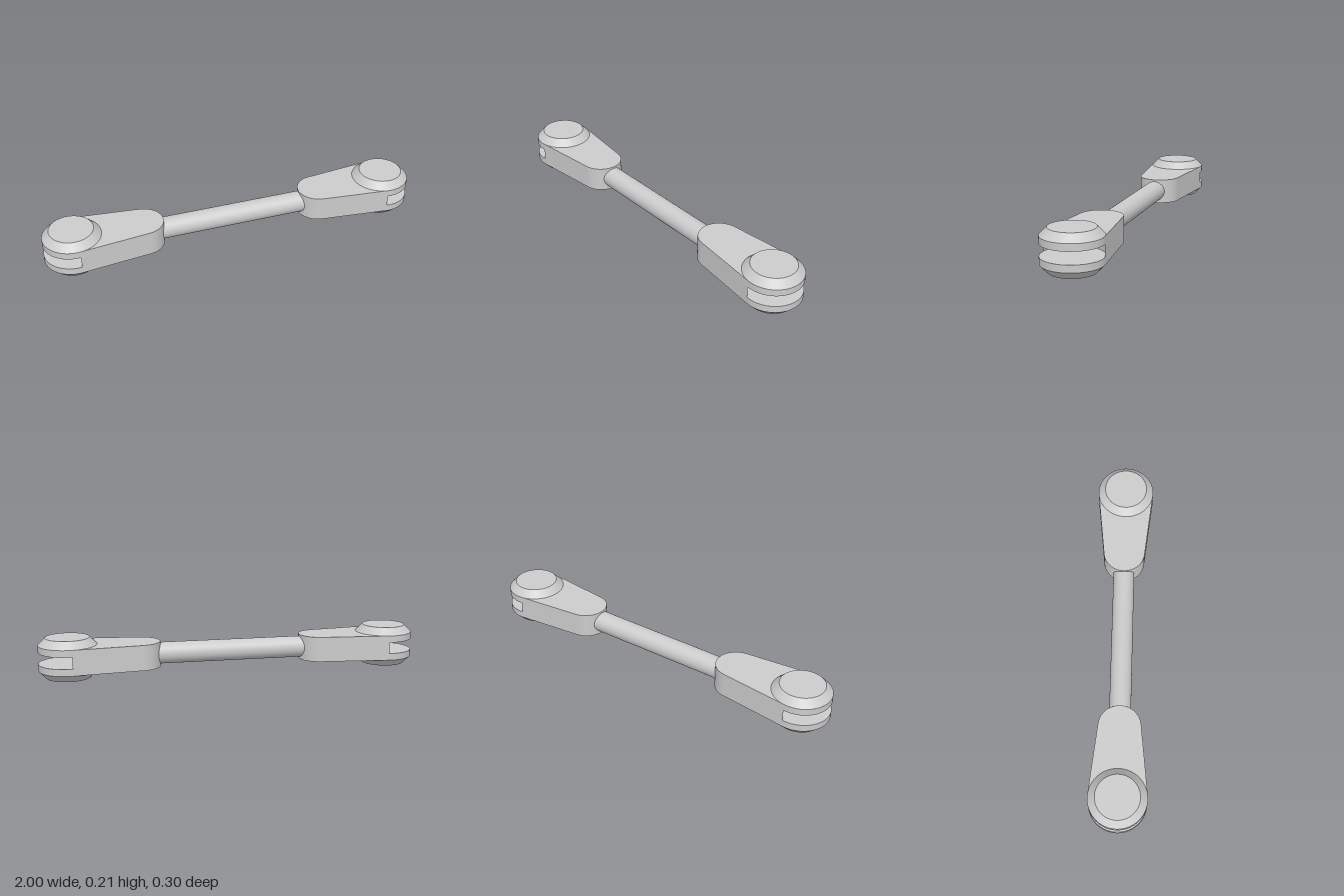
import * as THREE from 'three';
import { toCreasedNormals } from 'three/addons/utils/BufferGeometryUtils.js';

const EYE = { x: 0.85, r: 0.15 };    // outer round end
const NECK = { x: 0.485, r: 0.11 };  // inner round end, where the rod enters
const MID = 0.104;                   // height of the rod axis
const LEVELS = [0, 0.038, 0.074, 0.134, 0.17, 0.208];

const material = new THREE.MeshStandardMaterial({ color: 0xcccccc });

function add(parent, name, geometry) {
  const mesh = new THREE.Mesh(geometry, material);
  mesh.name = name;
  parent.add(mesh);
  return mesh;
}

// Tapered outline around both round ends; a slotted one is cut back by the eye circle
function outline(slotted) {
  const t = Math.acos(-(EYE.r - NECK.r) / (EYE.x - NECK.x));
  const shape = new THREE.Shape();
  shape.absarc(NECK.x, 0, NECK.r, t, 2 * Math.PI - t, false);
  if (slotted) shape.absarc(EYE.x, 0, EYE.r, 2 * Math.PI - t, t, true);
  else shape.absarc(EYE.x, 0, EYE.r, -t, t, false);
  shape.closePath();
  return shape;
}

// Horizontal plate between two heights
function plate(shape, y0, y1) {
  const geometry = new THREE.ExtrudeGeometry(shape, {
    depth: y1 - y0, bevelEnabled: false, curveSegments: 32,
  });
  geometry.rotateX(-Math.PI / 2).translate(0, y0, 0);
  return toCreasedNormals(geometry, 0.5);
}

function createClevis(name) {
  const clevis = new THREE.Group();
  clevis.name = name;
  const [y0, y1, y2, y3, y4, y5] = LEVELS;

  // Fork: two full cheeks with the slotted web between them
  add(clevis, 'lowerCheek', plate(outline(false), y1, y2));
  add(clevis, 'slottedWeb', plate(outline(true), y2, y3));
  add(clevis, 'upperCheek', plate(outline(false), y3, y4));

  // Chamfered bosses above and below the eye
  const small = 0.113;
  add(clevis, 'upperBoss', new THREE.CylinderGeometry(small, EYE.r, y5 - y4, 64))
    .position.set(EYE.x, (y4 + y5) / 2, 0);
  add(clevis, 'lowerBoss', new THREE.CylinderGeometry(EYE.r, small, y1 - y0, 64))
    .position.set(EYE.x, (y0 + y1) / 2, 0);
  return clevis;
}

export function createModel() {
  const model = new THREE.Group();
  model.name = 'linkRod';

  // Connecting rod
  const rod = add(model, 'rod', new THREE.CylinderGeometry(0.056, 0.056, 0.9, 48));
  rod.rotation.z = Math.PI / 2;
  rod.position.y = MID;

  // Matching forks at both ends
  const left = createClevis('leftClevis');
  const right = createClevis('rightClevis');
  right.rotation.y = Math.PI;
  model.add(left, right);
  return model;
}
